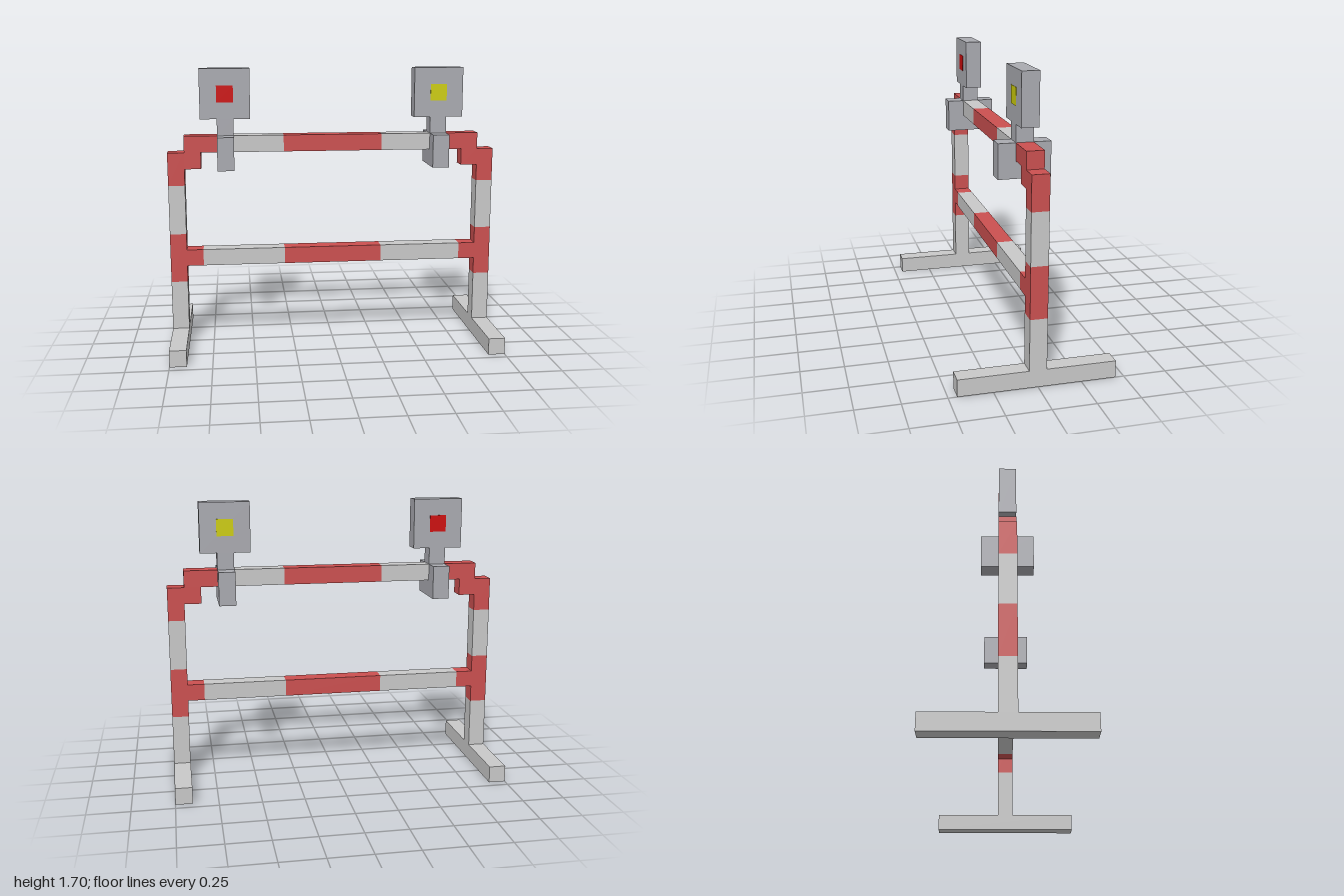
import * as THREE from 'three';

const mat = (name, color) => {
  const m = new THREE.MeshStandardMaterial({ color });
  m.name = name;
  return m;
};

export function createModel() {
  const white = mat('paleGrey', 0xc8c8c8);
  const red = mat('stripeRed', 0xcb5050);
  const steel = mat('lampGrey', 0xa9aab0);
  const lampRed = mat('lensRed', 0xcc0c0c);
  const lampYellow = mat('lensYellow', 0xcccc0c);

  const model = new THREE.Group();
  model.name = 'barrier';

  // Box from x and y ranges, centred on z
  const box = (parent, name, material, x0, x1, y0, y1, depth = 0.1) => {
    const mesh = new THREE.Mesh(new THREE.BoxGeometry(Math.abs(x1 - x0), y1 - y0, depth), material);
    mesh.position.set((x0 + x1) / 2, (y0 + y1) / 2, 0);
    mesh.name = name;
    parent.add(mesh);
  };

  // Red middle of both rails
  box(model, 'topRailMiddle', red, -0.3, 0.3, 1.2, 1.3);
  box(model, 'lowerRailMiddle', red, -0.3, 0.3, 0.5, 0.6);

  for (const s of [-1, 1]) {
    const side = new THREE.Group();
    side.name = s < 0 ? 'rightSide' : 'leftSide';
    model.add(side);
    const part = (name, material, x0, x1, y0, y1, depth) =>
      box(side, name, material, s * x0, s * x1, y0, y1, depth);

    // Foot and striped post
    part('foot', white, 0.9, 1, 0, 0.1, 0.9);
    part('postLower', white, 0.9, 1, 0.1, 0.4);
    part('postMiddle', red, 0.9, 1, 0.4, 0.7);
    part('postUpper', white, 0.9, 1, 0.7, 1);
    part('postTop', red, 0.9, 1, 1, 1.2);

    // Stepped corner and rail ends
    part('cornerStep', red, 0.8, 0.9, 1.1, 1.2);
    part('topRailEnd', red, 0.7, 0.9, 1.2, 1.3);
    part('topRailPale', white, 0.3, 0.6, 1.2, 1.3);
    part('lowerRailEnd', red, 0.8, 0.9, 0.5, 0.6);
    part('lowerRailPale', white, 0.3, 0.8, 0.5, 0.6);

    // Warning lamp clamped on the top rail, lens on both faces
    part('lampClamp', steel, 0.6, 0.7, 1.1, 1.3, 0.3);
    part('lampNeck', steel, 0.6, 0.7, 1.3, 1.4);
    part('lampHead', steel, 0.5, 0.8, 1.4, 1.7);
    part('lampLens', s < 0 ? lampRed : lampYellow, 0.6, 0.7, 1.5, 1.6, 0.104);
  }

  // Centre on the ground
  return model;
}
